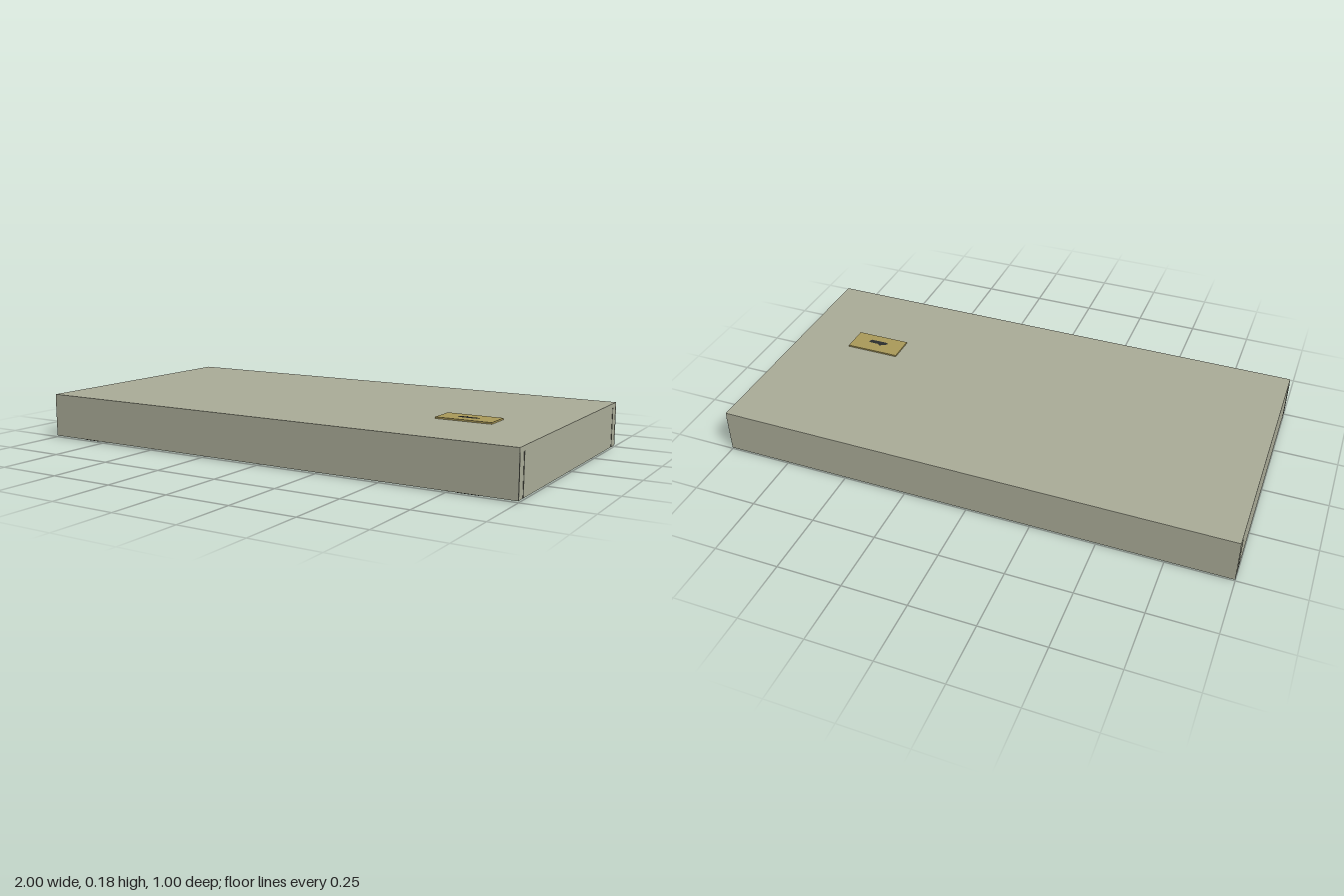
import * as THREE from 'three';

const paint = (name, color) => {
  const m = new THREE.MeshStandardMaterial({ color });
  m.name = name;
  return m;
};

export function createModel() {
  const model = new THREE.Group();
  const casing = paint('casing grey green', 0xa8aa96);
  const frame = paint('frame blue grey', 0x7a8686);
  const brass = paint('brass plate', 0xa89858);
  const dark = paint('dark rubber', 0x2a2c2c);
  const groove = paint('groove grey', 0x5a5c52);

  const add = (name, geometry, material) => {
    const mesh = new THREE.Mesh(geometry, material);
    mesh.name = name;
    model.add(mesh);
    return mesh;
  };
  // Box given by its lower and upper corners
  const box = (name, mat, x0, x1, y0, y1, z0, z1) =>
    add(name, new THREE.BoxGeometry(x1 - x0, y1 - y0, z1 - z0), mat)
      .position.set((x0 + x1) / 2, (y0 + y1) / 2, (z0 + z1) / 2);
  // Rectangular ring lying flat, from half sizes
  const ring = (name, mat, ox, oz, ix, iz, y0, y1) => {
    const rect = (C, x, z) => new C([[-x, -z], [x, -z], [x, z], [-x, z]].map(p => new THREE.Vector2(...p)));
    const shape = rect(THREE.Shape, ox, oz);
    shape.holes.push(rect(THREE.Path, ix, iz));
    const g = new THREE.ExtrudeGeometry(shape, { depth: y1 - y0, bevelEnabled: false });
    g.rotateX(-Math.PI / 2).translate(0, y0, 0);
    return add(name, g, mat);
  };

  // Casing: slab with a shallow recess underneath
  box('casing', casing, -0.999, 0.999, 0.035, 0.176, -0.5, 0.5);
  ring('casingSkirt', casing, 0.999, 0.5, 0.988, 0.489, 0.005, 0.035);
  ring('bottomFrame', frame, 0.988, 0.489, 0.945, 0.445, 0.006, 0.035);

  // Vertical seams near the corners of both ends
  for (const sx of [-1, 1]) {
    for (const sz of [-1, 1]) {
      for (const [z, w] of [[0.46, 0.007], [0.4985, 0.003]]) {
        const x = sx * 0.999;
        box('endSeam', groove, x - 0.001, x + 0.001, 0.006, 0.16, sz * z - w / 2, sz * z + w / 2);
      }
      // Pads on the recessed panel
      box('innerPad', dark, sx * 0.9 - 0.028, sx * 0.9 + 0.028, 0.024, 0.036, sz * 0.24 - 0.045, sz * 0.24 + 0.045);
    }
    // Front feet
    box('foot', dark, sx * 0.82 - 0.04, sx * 0.82 + 0.04, 0, 0.007, 0.46, 0.485);
  }

  // Plate on the top with a small dark inlay
  box('topPlate', brass, 0.555, 0.772, 0.175, 0.182, 0.08, 0.186);
  const inlay = new THREE.Shape([
    [0.622, -0.145], [0.632, -0.15], [0.7, -0.15], [0.706, -0.135], [0.695, -0.13],
    [0.66, -0.13], [0.652, -0.12], [0.645, -0.126], [0.63, -0.132],
  ].map(p => new THREE.Vector2(...p)));
  add('plateInlay', new THREE.ShapeGeometry(inlay).rotateX(-Math.PI / 2), dark).position.y = 0.183;

  return model;
}
